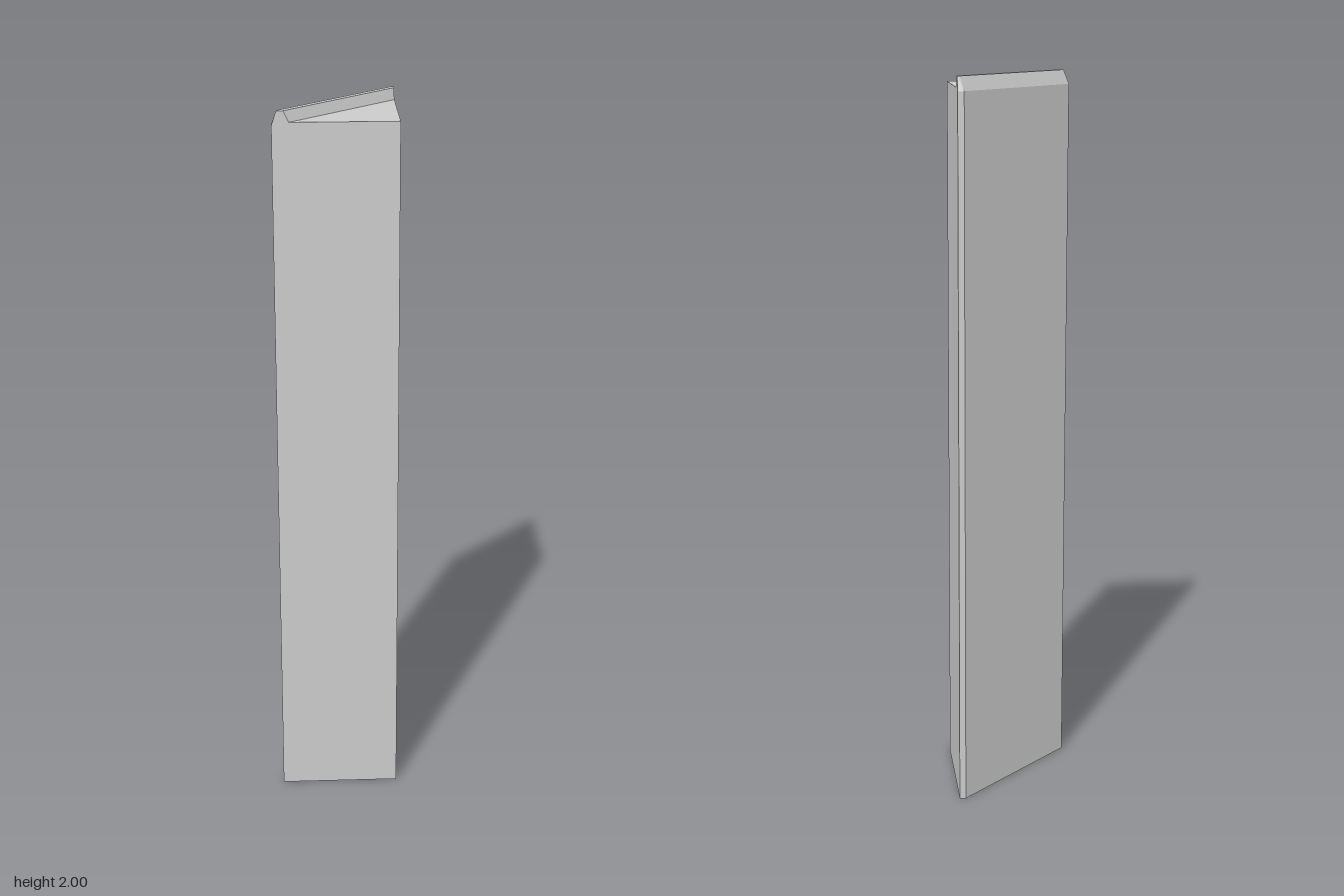
import * as THREE from 'three';

// Corners of the front (+z) half; the back half is mirrored.
const P = {
  tip0: [0.124, 0, 0], tip1: [0.124, 1.97, 0],
  corner0: [-0.112, 0, 0.237], corner1: [-0.112, 1.962, 0.237],
  back0: [-0.124, 0, 0.225], back1: [-0.124, 1.962, 0.225],
  ridgeBack: [-0.107, 2, 0.222], ridgeEnd: [-0.103, 2, 0.228],
  ridgeFront: [-0.09, 2, 0.215], ridgeFoot: [-0.08, 1.97, 0.205],
};

const front = (names) => names.map((n) => P[n]);
const mirror = (points) => points.map(([x, y, z]) => [x, y, -z]).reverse();
const span = (...names) => [...front(names), ...mirror(front(names))];

// Each polygon is split into a fan around its first corner.
function polygonMesh(name, polygons, material) {
  const positions = [];
  for (const poly of polygons) {
    for (let i = 1; i < poly.length - 1; i++) positions.push(...poly[0], ...poly[i], ...poly[i + 1]);
  }
  const geometry = new THREE.BufferGeometry();
  geometry.setAttribute('position', new THREE.Float32BufferAttribute(positions, 3));
  geometry.computeVertexNormals();
  const mesh = new THREE.Mesh(geometry, material);
  mesh.name = name;
  return mesh;
}

export function createModel() {
  const material = new THREE.MeshStandardMaterial({ color: 0xcccccc, flatShading: true });
  const group = new THREE.Group();
  group.name = 'triangularPost';

  // Slanted walls and narrow chamfered corners, on both ends
  const wall = front(['tip0', 'tip1', 'ridgeFoot', 'ridgeFront', 'ridgeEnd', 'corner1', 'corner0']);
  const corner = front(['corner0', 'corner1', 'back1', 'back0']);
  // Sloped facet closing the end of the ridge
  const facet = front(['corner1', 'ridgeEnd', 'ridgeBack', 'back1']);

  group.add(polygonMesh('postBody', [
    wall, mirror(wall), corner, mirror(corner),
    span('back0', 'back1').map((p) => p), // back wall
    [P.ridgeFoot, P.tip1, mirror([P.ridgeFoot])[0]], // flat top
    [P.tip0, ...span('corner0', 'back0')], // underside
  ], material));

  // Raised lip along the back of the top
  group.add(polygonMesh('topRidge', [
    facet, mirror(facet),
    span('back1', 'ridgeBack'), // back bevel
    span('ridgeBack', 'ridgeEnd', 'ridgeFront'), // crest
    span('ridgeFront', 'ridgeFoot'), // inner slope
  ], material));

  return group;
}
